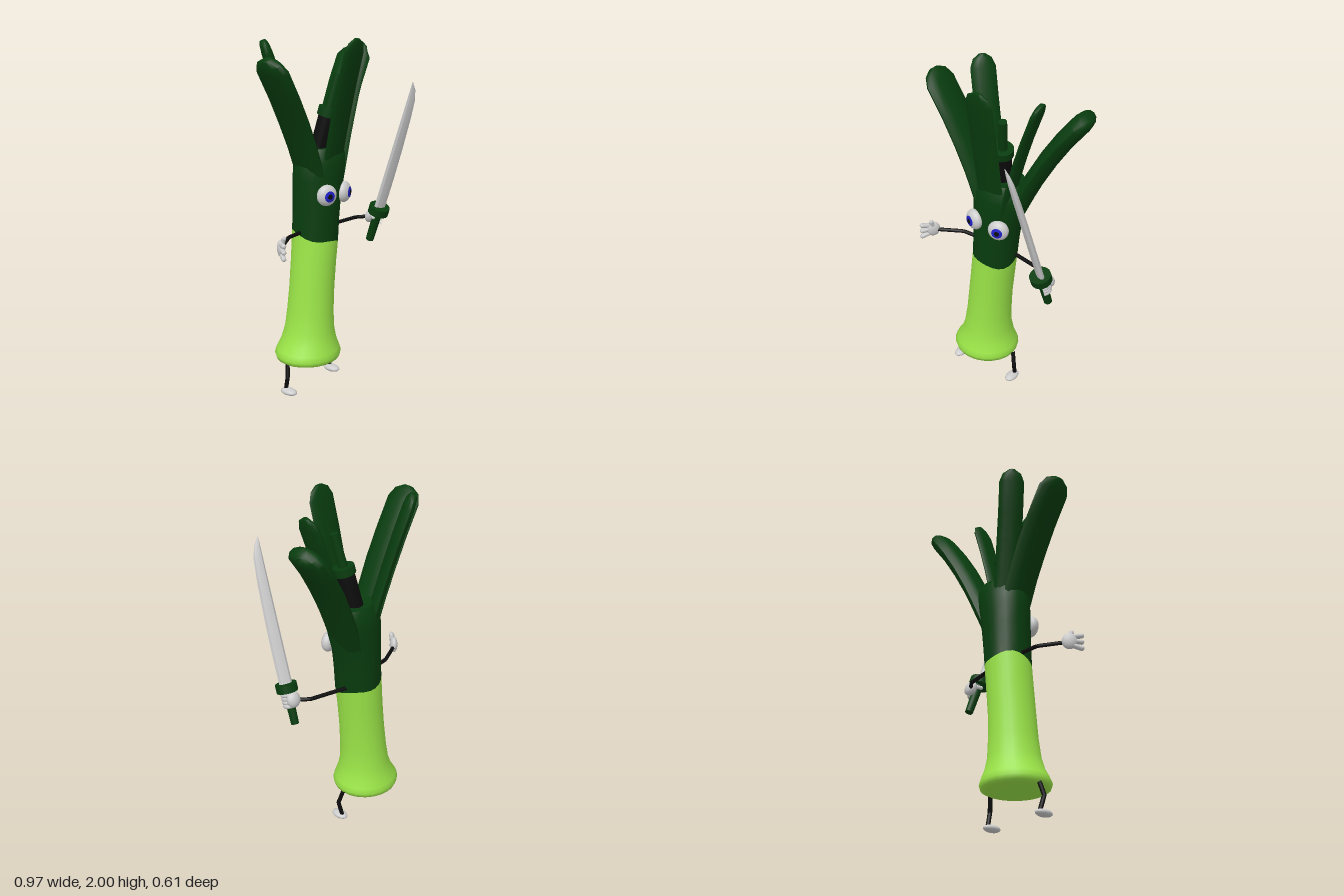
import * as THREE from 'three';
import { toCreasedNormals } from 'three/addons/utils/BufferGeometryUtils.js';

const V = (x, y, z) => new THREE.Vector3(x, y, z);
const paint = (color) => new THREE.MeshStandardMaterial({ color });
const MAT = {
  light: paint(0x9be548), dark: paint(0x083c0e), black: paint(0x0c0c0c),
  grey: paint(0xcccccc), white: paint(0xf0f0f0), blue: paint(0x2020c8),
};

function add(parent, name, geometry, material, pos) {
  const mesh = new THREE.Mesh(geometry, material);
  mesh.name = name;
  if (pos) mesh.position.copy(pos);
  parent.add(mesh);
  return mesh;
}

// Skin a list of closed rings (counter-clockwise seen from the end) and cap both ends
function loft(rings, crease = 0.9) {
  const n = rings[0].length, pts = rings.flat(), index = [];
  for (let i = 0; i < rings.length - 1; i++) {
    for (let j = 0; j < n; j++) {
      const k = (j + 1) % n, a = i * n + j, b = i * n + k;
      index.push(a, b, b + n, a, b + n, a + n);
    }
  }
  [0, rings.length - 1].forEach((r, end) => {
    const c = pts.length;
    pts.push(rings[r].reduce((s, p) => s.add(p), V(0, 0, 0)).divideScalar(n));
    for (let j = 0; j < n; j++) {
      const a = r * n + j, b = r * n + (j + 1) % n;
      index.push(c, ...(end ? [a, b] : [b, a]));
    }
  });
  const g = new THREE.BufferGeometry().setFromPoints(pts);
  g.setIndex(index);
  return toCreasedNormals(g, crease);
}

function oval(c, u, v, n) {
  return Array.from({ length: n }, (_, j) => {
    const a = (j / n) * Math.PI * 2;
    return c.clone().addScaledVector(u, Math.cos(a)).addScaledVector(v, Math.sin(a));
  });
}

// Stalk section: [y, centre x, centre z, radius x, radius z]
const section = ([y, x, z, rx, rz]) => oval(V(x, y, z), V(rx, 0, 0), V(0, 0, -rz), 24);

// Uneven line where the pale stalk meets the dark green
function seam() {
  const ring = section([0.89, -0.055, -0.1, 0.126, 0.131]);
  ring.forEach((p, j) => {
    const a = (j / 24) * Math.PI * 2;
    p.y += -0.025 * Math.cos(a) + 0.018 * Math.sin(a) + 0.01 * Math.sin(3 * a);
  });
  return ring;
}

// Leaf: curved path, flat oval section, chamfered tip
function leaf(parent, base, mid, tip, across, width, thick) {
  const curve = new THREE.QuadraticBezierCurve3(base,
    mid.clone().multiplyScalar(2).addScaledVector(base, -0.5).addScaledVector(tip, -0.5), tip);
  const rings = [[0, 0.9], [0.15, 0.96], [0.3, 0.97], [0.5, 1], [0.7, 1], [0.91, 1], [0.97, 0.74], [1, 0.25]]
    .map(([t, s]) => {
      const w = curve.getTangent(t);
      const u = across.clone().addScaledVector(w, -across.dot(w)).normalize();
      const v = w.clone().cross(u);
      return oval(curve.getPoint(t), u.multiplyScalar(width * s / 2), v.multiplyScalar(thick * (0.4 + 0.6 * s) / 2), 12);
    });
  add(parent, 'leaf', loft(rings), MAT.dark);
}

// Thin limb bent at one joint
function limb(parent, name, points, radius = 0.011) {
  const path = new THREE.CurvePath();
  for (let i = 1; i < points.length; i++) path.add(new THREE.LineCurve3(points[i - 1], points[i]));
  add(parent, name, new THREE.TubeGeometry(path, 16, radius, 8), MAT.black);
}

function capsule(parent, name, a, b, r) {
  const m = add(parent, name, new THREE.CapsuleGeometry(r, a.distanceTo(b), 4, 8), MAT.grey, a.clone().lerp(b, 0.5));
  m.quaternion.setFromUnitVectors(V(0, 1, 0), b.clone().sub(a).normalize());
}

// Guard at the origin with the grip hanging below it
function hilt(name) {
  const g = new THREE.Group();
  g.name = name;
  add(g, 'guard', new THREE.CylinderGeometry(0.06, 0.06, 0.045, 16), MAT.dark);
  add(g, 'grip', new THREE.CylinderGeometry(0.027, 0.023, 0.2, 10), MAT.dark, V(0, -0.11, 0));
  return g;
}

function aim(group, pos, dir) {
  group.position.copy(pos);
  group.quaternion.setFromUnitVectors(V(0, 1, 0), dir.normalize());
}

function eye(parent, pos, turn) {
  const g = new THREE.Group();
  g.name = 'eye';
  add(g, 'eyeball', new THREE.SphereGeometry(0.059, 24, 16), MAT.white);
  // Iris and pupil are caps just above the eyeball
  const cap = (r, angle) => new THREE.SphereGeometry(r, 20, 6, 0, Math.PI * 2, 0, angle).rotateX(Math.PI / 2);
  add(g, 'iris', cap(0.0598, 0.54), MAT.blue);
  add(g, 'pupil', cap(0.0608, 0.24), MAT.black);
  g.scale.z = 0.65;
  g.rotation.y = turn;
  g.position.copy(pos);
  parent.add(g);
}

export function createModel() {
  const model = new THREE.Group();
  model.name = 'leekFighter';

  // Stalk
  add(model, 'paleStalk', loft([
    [0.17, -0.12, -0.105, 0.165, 0.16], [0.18, -0.12, -0.105, 0.187, 0.178], [0.205, -0.12, -0.105, 0.195, 0.185],
    [0.235, -0.118, -0.105, 0.183, 0.175], [0.28, -0.113, -0.104, 0.16, 0.158], [0.35, -0.107, -0.103, 0.14, 0.143],
    [0.46, -0.098, -0.102, 0.13, 0.135], [0.6, -0.086, -0.1, 0.126, 0.13], [0.75, -0.07, -0.1, 0.126, 0.13],
  ].map(section).concat([seam()])), MAT.light);
  add(model, 'darkStalk', loft([seam(), ...[
    [1.0, -0.047, -0.1, 0.13, 0.132], [1.12, -0.037, -0.1, 0.138, 0.133], [1.23, -0.021, -0.1, 0.157, 0.134],
    [1.3, -0.012, -0.1, 0.162, 0.132], [1.36, -0.004, -0.1, 0.155, 0.125], [1.4, 0, -0.1, 0.125, 0.103],
    [1.39, 0, -0.1, 0.08, 0.08],
  ].map(section)]), MAT.dark);

  // Leaves
  leaf(model, V(-0.09, 1.2, -0.09), V(-0.235, 1.56, -0.09), V(-0.45, 1.925, -0.08), V(0, 0, 1), 0.21, 0.085);
  leaf(model, V(-0.07, 1.2, -0.15), V(-0.17, 1.6, -0.2), V(-0.27, 1.985, -0.27), V(0.6, 0, -0.7), 0.14, 0.06);
  leaf(model, V(-0.015, 1.2, -0.025), V(-0.01, 1.6, 0.05), V(0.008, 1.998, 0.138), V(1, 0, 0), 0.17, 0.038);
  leaf(model, V(0.05, 1.2, -0.05), V(0.14, 1.57, -0.045), V(0.27, 1.94, -0.04), V(0.1, 0, 1), 0.14, 0.045);
  leaf(model, V(0.06, 1.18, -0.12), V(0.245, 1.57, -0.165), V(0.455, 1.865, -0.205), V(0.12, 0, 1), 0.215, 0.105);

  // Eyes
  eye(model, V(-0.105, 1.155, 0.025), -0.35);
  eye(model, V(0.053, 1.14, 0.02), 0.35);

  // Legs and feet
  for (const [x, out] of [[-0.305, -1], [0.083, 1]]) {
    limb(model, 'leg', [V(x - out * 0.012, 0.195, -0.11), V(x + out * 0.01, 0.11, -0.092), V(x, 0.025, -0.115)], 0.012);
    const foot = add(model, 'foot', new THREE.SphereGeometry(1, 16, 10), MAT.grey, V(x - 0.003, 0.02, -0.09));
    foot.scale.set(0.033, 0.02, 0.054);
  }

  // Right arm with open hand
  limb(model, 'rightArm', [V(-0.15, 0.93, -0.11), V(-0.28, 0.935, -0.1), V(-0.42, 0.93, -0.03)]);
  const hand = new THREE.Group();
  hand.name = 'rightHand';
  hand.position.set(-0.44, 0.935, -0.015);
  hand.rotation.y = 0.85;
  model.add(hand);
  add(hand, 'palm', new THREE.SphereGeometry(1, 14, 10), MAT.grey).scale.set(0.042, 0.046, 0.022);
  for (const k of [-1, 0, 1]) {
    capsule(hand, 'finger', V(-0.02, k * 0.026, 0), V(-0.064, k * 0.036 - 0.003, 0.006), 0.014);
  }
  capsule(hand, 'thumb', V(0, 0.02, 0.005), V(-0.012, 0.056, 0.014), 0.013);

  // Left arm
  limb(model, 'leftArm', [V(0.04, 0.905, -0.13), V(0.285, 0.912, -0.075), V(0.33, 0.912, -0.04)]);

  // Drawn sword, gripped by the left hand
  const sword = hilt('sword');
  aim(sword, V(0.353, 0.965, 0.043), V(-0.03, 0.78, 0.272));
  model.add(sword);
  const blade = add(sword, 'blade', loft(
    [[0, 0.036], [0.2, 0.036], [0.4, 0.034], [0.6, 0.03], [0.72, 0.025], [0.78, 0.016], [0.825, 0.002]]
      .map(([h, w]) => oval(V(w - 0.036, h, 0), V(w, 0, 0), V(0, 0, -Math.min(0.018, w * 0.6)), 8)), 0.6), MAT.grey);
  blade.rotation.y = -0.46;
  const palm = add(sword, 'leftPalm', new THREE.SphereGeometry(1, 14, 10), MAT.grey, V(0.004, -0.065, -0.042));
  palm.scale.set(0.042, 0.046, 0.03);
  for (let i = 0; i < 4; i++) {
    const finger = add(sword, 'leftFinger', new THREE.TorusGeometry(0.031, 0.0125, 8, 14, 2.3), MAT.grey, V(0, -0.038 - i * 0.021, 0));
    finger.rotation.set(Math.PI / 2, 0, -1.3);
  }
  capsule(sword, 'leftThumb', V(-0.012, -0.05, -0.034), V(-0.034, -0.045, 0), 0.011);

  // Sheathed sword standing among the leaves
  const spare = hilt('sheathedSword');
  aim(spare, V(0.02, 1.585, -0.062), V(-0.032, -0.21, -0.045));
  add(spare, 'scabbard', new THREE.CylinderGeometry(0.05, 0.05, 0.4, 16), MAT.black, V(0, 0.22, 0));
  model.add(spare);

  return model;
}
